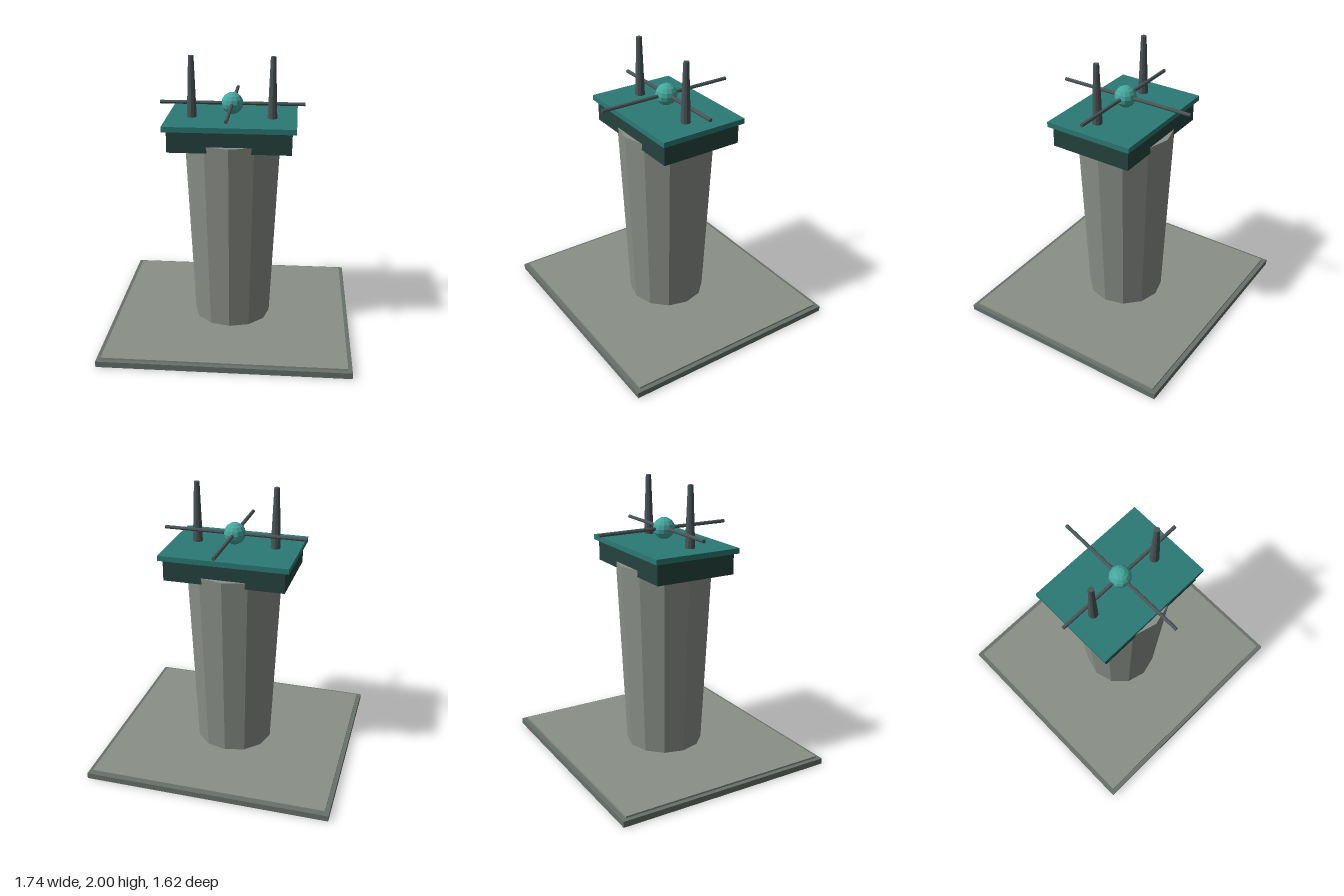
import * as THREE from 'three';

const material = (color) => new THREE.MeshStandardMaterial({ color, flatShading: true });

export function createModel() {
  const model = new THREE.Group();
  model.name = 'controlTower';

  const rimStone = material(0x69716c);
  const stone = material(0x8a8f88);
  const darkTeal = material(0x25433f);
  const teal = material(0x2a7a75);
  const lightTeal = material(0x46a89f);
  const metal = material(0x4a5558);

  const add = (name, geometry, mat, x, y, z) => {
    const mesh = new THREE.Mesh(geometry, mat);
    mesh.name = name;
    mesh.position.set(x, y, z);
    model.add(mesh);
    return mesh;
  };
  // Box given by its half width, half depth, bottom and top
  const slab = (name, hx, hz, y0, y1, mat) =>
    add(name, new THREE.BoxGeometry(hx * 2, y1 - y0, hz * 2), mat, 0, (y0 + y1) / 2, 0);

  // Stepped base
  slab('baseRim', 0.872, 0.81, 0, 0.042, rimStone);
  slab('basePlate', 0.842, 0.778, 0.042, 0.055, stone);

  // Twelve-sided shaft, widening upwards
  add('shaft', new THREE.CylinderGeometry(0.342, 0.278, 1.375, 12), stone, 0, 0.7425, 0);

  // Cabin and roof
  slab('cabin', 0.425, 0.3, 1.385, 1.535, darkTeal);
  slab('roof', 0.455, 0.325, 1.535, 1.572, teal);

  // Ball with two crossed rods
  const hubY = 1.665;
  add('ball', new THREE.SphereGeometry(0.077, 12, 8), lightTeal, 0, hubY, 0);
  const rod = new THREE.CylinderGeometry(0.013, 0.013, 1.016, 8);
  add('crossRod', rod, metal, 0, hubY, 0).rotation.z = Math.PI / 2;
  add('lengthRod', rod, metal, 0, hubY, 0).rotation.x = Math.PI / 2;

  // Pair of tapered masts
  const mast = new THREE.CylinderGeometry(0.019, 0.035, 0.43, 10);
  for (const side of [1, -1]) {
    add(side > 0 ? 'leftMast' : 'rightMast', mast, metal, side * 0.282, 1.785, 0.037);
  }

  return model;
}
